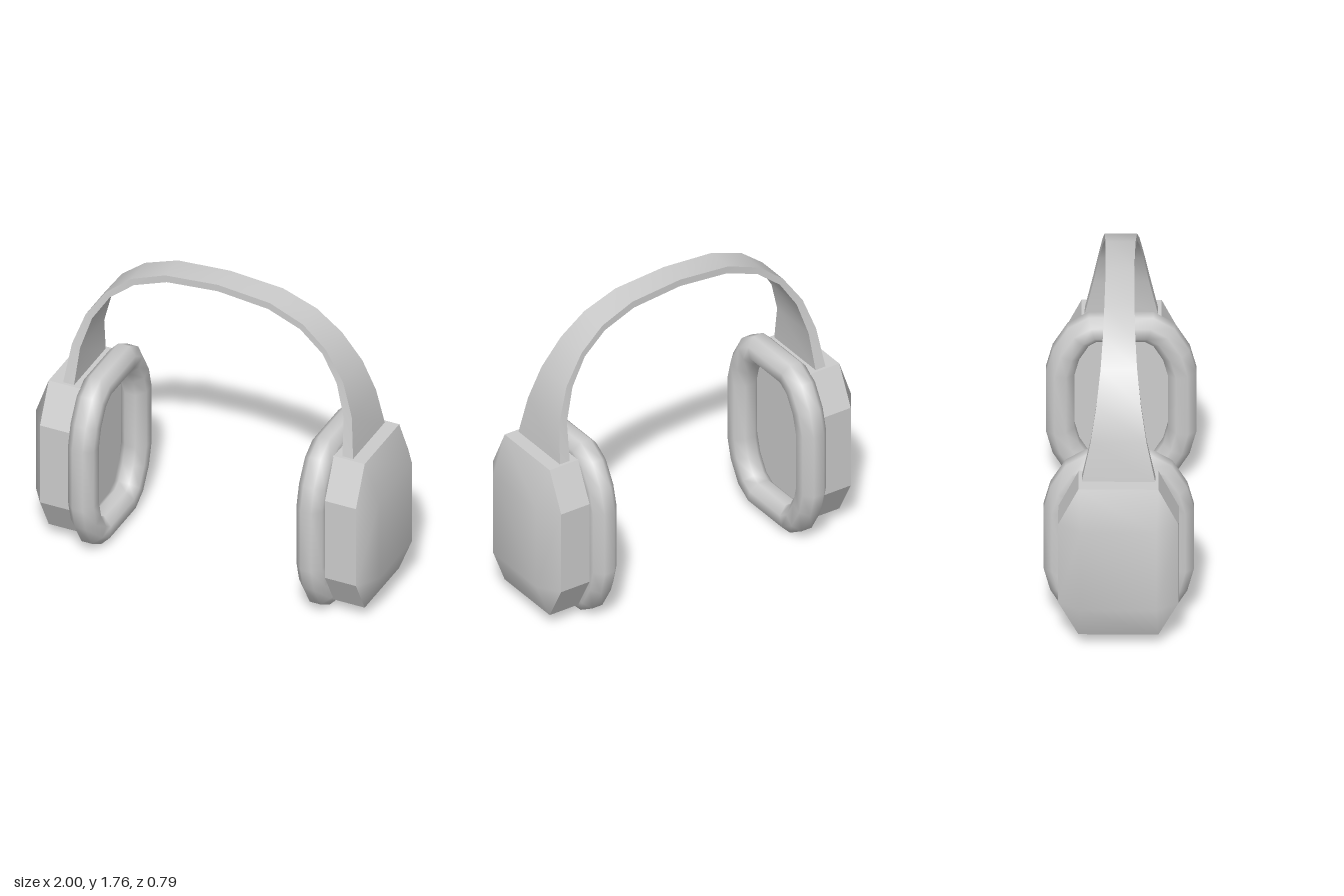
import * as THREE from 'three';
import { toCreasedNormals } from 'three/addons/utils/BufferGeometryUtils.js';

const material = new THREE.MeshStandardMaterial({ color: 0xcccccc });

function mesh(name, geometry) {
  const m = new THREE.Mesh(geometry, material);
  m.name = name;
  return m;
}

function indexed(points, index) {
  const g = new THREE.BufferGeometry();
  g.setAttribute('position', new THREE.Float32BufferAttribute(points.flat(), 3));
  g.setIndex(index);
  g.computeVertexNormals();
  return g;
}

// Skin a row of closed cross-sections; loop joins the last one to the first.
function loft(rings, loop) {
  const n = rings.length, m = rings[0].length, index = [];
  for (let i = 0; i < (loop ? n : n - 1); i++) {
    for (let j = 0; j < m; j++) {
      const i2 = (i + 1) % n, j2 = (j + 1) % m;
      const a = i * m + j, b = i2 * m + j, c = i2 * m + j2, d = i * m + j2;
      index.push(a, b, c, a, c, d);
    }
  }
  return indexed(rings.flat(), index);
}

// Headband: [outer x, outer y, inner x, inner y, half width], top to end
function headband() {
  const half = [
    [0, 1.76, 0, 1.72, 0.075],
    [0.305, 1.735, 0.295, 1.695, 0.079],
    [0.5, 1.66, 0.485, 1.625, 0.085],
    [0.64, 1.545, 0.62, 1.515, 0.096],
    [0.75, 1.385, 0.712, 1.37, 0.117],
    [0.815, 1.2, 0.768, 1.185, 0.147],
    [0.846, 0.96, 0.782, 0.96, 0.196],
  ];
  const left = half.slice(1).reverse().map(([a, b, c, d, w]) => [-a, b, -c, d, w]);
  const rings = [...left, ...half].map(([ox, oy, ix, iy, w]) => [
    [ox, oy, w], [ox, oy, -w], [ix, iy, -w], [ix, iy, w],
  ]);
  return toCreasedNormals(loft(rings, false), 0.7);
}

// Cup outline, counterclockwise; cup parts are drawn in xy, then turned to face +x.
const rim = [
  [0.317, 0.27], [0.317, 0.755], [0.21, 0.975], [-0.21, 0.975],
  [-0.317, 0.755], [-0.317, 0.27], [-0.21, 0.07], [0.21, 0.07],
];

function cupBody() {
  const shape = new THREE.Shape(rim.map(([x, y]) => new THREE.Vector2(x, y)));
  return new THREE.ExtrudeGeometry(shape, { depth: 0.185, bevelEnabled: false })
    .rotateY(Math.PI / 2).translate(0.735, 0, 0);
}

// Smooth outer cover: octagonal rim rising to a rectangular plateau
function cupCover() {
  const plateau = [[0.2, 0.27], [0.2, 0.755], [-0.2, 0.755], [-0.2, 0.27]];
  const points = [...rim.map(p => [...p, 0]), ...plateau.map(p => [...p, 0.08])];
  const index = [8, 9, 10, 8, 10, 11];
  for (let k = 0; k < 4; k++) {
    const p = 8 + k, q = 8 + (k + 1) % 4;
    const a = 2 * k, b = a + 1, c = (a + 2) % 8;
    index.push(p, a, b, p, b, q, q, b, c);
  }
  return indexed(points, index).rotateY(Math.PI / 2).translate(0.92, 0, 0);
}

// Ear cushion: eight-sided tube swept round a rounded oblong
function cushion() {
  const q = [[0.395, 0.185], [0.36, 0.32], [0.28, 0.455], [0.17, 0.5225]];
  const r = q.slice().reverse();
  const path = [
    ...q, ...r.map(([x, y]) => [-x, y]),
    ...q.map(([x, y]) => [-x, -y]), ...r.map(([x, y]) => [x, -y]),
  ].map(p => new THREE.Vector2(...p));
  const n = path.length, radius = 0.081, inset = 0.075;
  const rings = path.map((p, i) => {
    const before = p.clone().sub(path[(i + n - 1) % n]).normalize();
    const after = path[(i + 1) % n].clone().sub(p).normalize();
    const t = before.clone().add(after).normalize();
    const miter = 1 / t.dot(after);
    return Array.from({ length: 8 }, (_, j) => {
      const angle = (j + 0.5) * Math.PI / 4;
      const out = (radius * Math.cos(angle) - inset) * miter;
      return [p.x + t.y * out, p.y - t.x * out + 0.5225, radius * Math.sin(angle)];
    });
  });
  return loft(rings, true).rotateY(Math.PI / 2).translate(0.665, 0, 0);
}

export function createModel() {
  const model = new THREE.Group();
  model.name = 'headphones';
  model.add(mesh('headband', headband()));

  // Matching ear cups, the right one turned half round
  const parts = { cupBody: cupBody(), cupCover: cupCover(), earCushion: cushion() };
  for (const [name, turn] of [['leftEarCup', 0], ['rightEarCup', Math.PI]]) {
    const cup = new THREE.Group();
    cup.name = name;
    for (const [part, geometry] of Object.entries(parts)) cup.add(mesh(part, geometry));
    cup.rotation.y = turn;
    model.add(cup);
  }
  return model;
}
